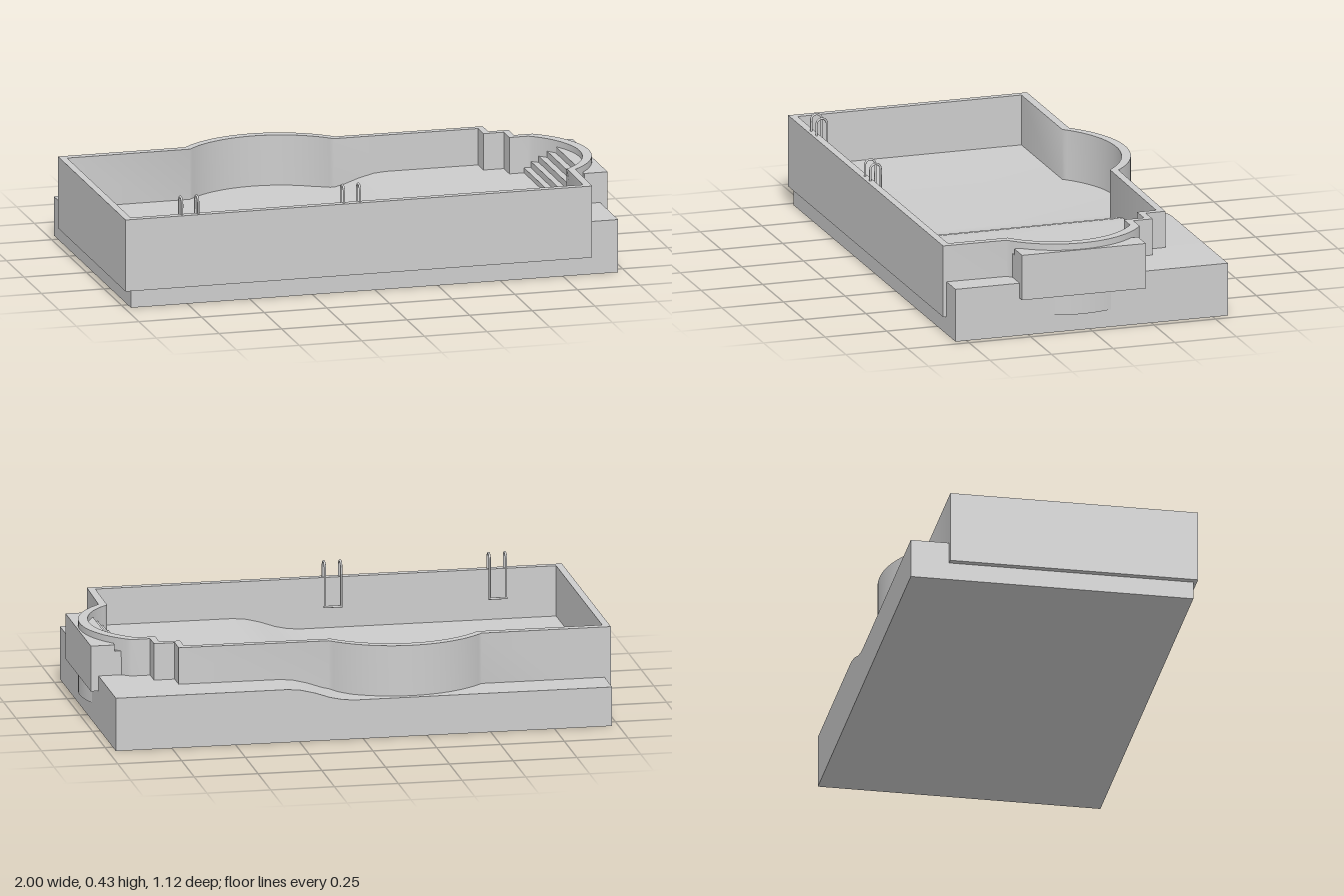
import * as THREE from 'three';
import { toCreasedNormals } from 'three/addons/utils/BufferGeometryUtils.js';

const concrete = new THREE.MeshStandardMaterial({ color: 0xcccccc });
concrete.name = 'grey concrete';

function addMesh(parent, name, geometry) {
  const mesh = new THREE.Mesh(geometry, concrete);
  mesh.name = name;
  parent.add(mesh);
  return mesh;
}

// Points of a circular arc from a to b, bulging to the left of travel by sag
function arc(a, b, sag, steps = 32) {
  const [dx, dz] = [b[0] - a[0], b[1] - a[1]];
  const half = Math.hypot(dx, dz) / 2;
  const r = (half * half + sag * sag) / (2 * sag);
  const sweep = Math.asin(half / r);
  const [ux, uz] = [dx / (2 * half), dz / (2 * half)];
  return Array.from({ length: steps + 1 }, (_, i) => {
    const t = -sweep + (2 * sweep * i) / steps;
    const along = half + r * Math.sin(t);
    const out = r * (Math.cos(t) - Math.cos(sweep));
    return [a[0] + ux * along + uz * out, a[1] + uz * along - ux * out];
  });
}

// Plan points are (x, z); the shape is laid flat after extruding
const plan = (points) => points.map(([x, z]) => new THREE.Vector2(x, -z));

function extrude(shape, depth) {
  return new THREE.ExtrudeGeometry(shape, { depth, bevelEnabled: false });
}

// Side profile in (x, y), pushed from z0 to z1
function profileBlock(points, z0, z1) {
  const shape = new THREE.Shape(points.map(([x, y]) => new THREE.Vector2(x, y)));
  return toCreasedNormals(extrude(shape, z1 - z0).translate(0, 0, z0), 0.4);
}

function poolWall() {
  const outer = [
    [-1, 0.559], [-1, -0.41],
    ...arc([-0.493, -0.41], [0.105, -0.408], 0.128),
    [0.692, -0.4], [0.692, -0.321], [0.773, -0.321], [0.773, -0.243],
    ...arc([0.847, -0.243], [0.867, 0.302], 0.136),
    [0.862, 0.559],
  ];
  const inner = [
    [-0.972, 0.53], [-0.972, -0.378],
    ...arc([-0.482, -0.378], [0.092, -0.378], 0.122),
    [0.666, -0.372], [0.666, -0.294], [0.747, -0.294], [0.747, -0.213],
    ...arc([0.822, -0.213], [0.836, 0.288], 0.126),
    [0.834, 0.53],
  ];
  const shape = new THREE.Shape(plan(outer));
  // The hole runs against the outline so that its faces look into the pool
  shape.holes.push(new THREE.Path(plan(inner).reverse()));
  const geometry = extrude(shape, 0.285).rotateX(-Math.PI / 2).translate(0, 0.07, 0);
  return toCreasedNormals(geometry, 1.1);
}

// Pair of hooked handrails joined by a low rung
function ladder(x) {
  const group = new THREE.Group();
  group.name = 'ladder';
  const [radius, bend, zMid, yBend, yLow] = [0.0045, 0.021, 0.522, 0.4, 0.245];
  const points = [[0.35, bend], [0.375, bend]];
  for (let i = 0; i <= 12; i++) {
    const t = (Math.PI * i) / 12;
    points.push([yBend + bend * Math.sin(t), bend * Math.cos(t)]);
  }
  points.push([0.36, -bend], [0.3, -bend], [yLow, -bend]);
  const path = new THREE.CatmullRomCurve3(
    points.map(([y, z]) => new THREE.Vector3(0, y, zMid + z)));
  for (const side of [-1, 1]) {
    const rail = addMesh(group, 'handrail', new THREE.TubeGeometry(path, 60, radius, 8));
    rail.position.x = side * 0.032;
  }
  const rung = addMesh(group, 'rung', new THREE.CylinderGeometry(radius, radius, 0.073, 8));
  rung.rotation.z = Math.PI / 2;
  rung.position.set(0, yLow, zMid - bend);
  group.position.x = x;
  return group;
}

export function createModel() {
  const model = new THREE.Group();
  model.name = 'swimmingPool';

  // Ground slab doubles as the pool floor, sloping from shallow to deep
  addMesh(model, 'slopedFloorSlab', profileBlock([
    [-0.975, 0], [0.97, 0], [0.97, 0.21], [0.3, 0.21], [0.25, 0.206],
    [0.19, 0.191], [0.13, 0.17], [0.08, 0.159], [0.03, 0.155], [-0.975, 0.155],
  ], -0.56, 0.545));

  addMesh(model, 'poolWall', poolWall());

  // Entry steps rising towards the curved end
  const steps = [[1, 0.15], [1, 0.33]];
  for (let i = 0; i < 5; i++) {
    const x = 0.907 - i * 0.0255;
    const y = 0.33 - i * 0.025;
    steps.push([x, y], [x, i < 4 ? y - 0.025 : 0.15]);
  }
  addMesh(model, 'entrySteps', profileBlock(steps, -0.217, 0.285));

  for (const x of [-0.738, -0.092]) model.add(ladder(x));
  return model;
}
